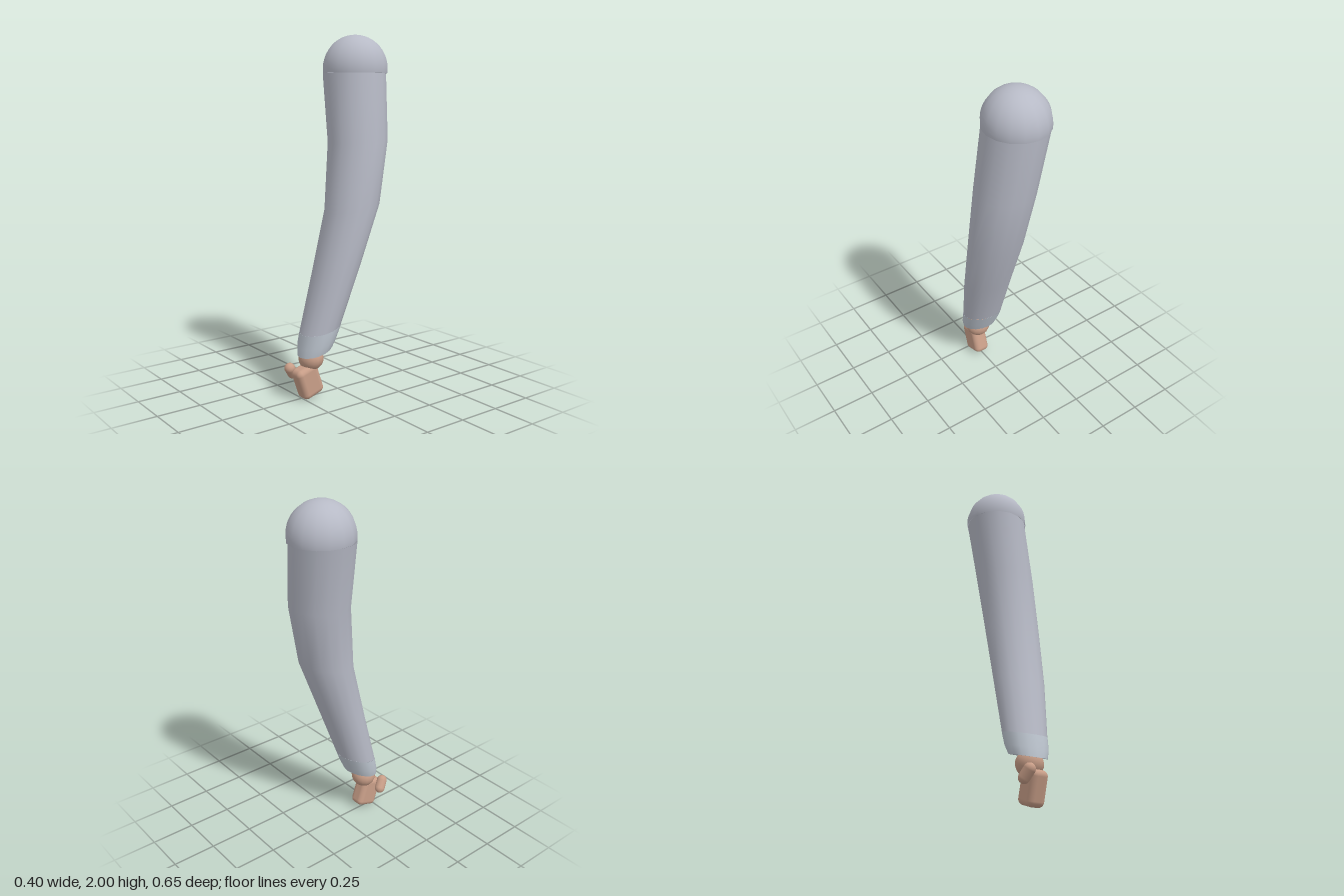
import * as THREE from 'three';
import { RoundedBoxGeometry } from 'three/addons/geometries/RoundedBoxGeometry.js';

const SIDES = 16;

// Smooth tube through tilted oval rings: [x, y, z, radiusX, radiusZ, drop at the front edge]
function loft(rings, capEnd) {
  const pos = [], index = [];
  const addRing = ([x, y, z, rx, rz, drop]) => {
    for (let i = 0; i < SIDES; i++) {
      const a = (i / SIDES) * Math.PI * 2;
      pos.push(x + rx * Math.sin(a), y - drop * Math.cos(a), z + rz * Math.cos(a));
    }
  };
  rings.forEach(addRing);
  for (let r = 0; r < rings.length - 1; r++) {
    for (let i = 0; i < SIDES; i++) {
      const j = (i + 1) % SIDES;
      const a = r * SIDES + i, b = r * SIDES + j, c = a + SIDES, d = b + SIDES;
      index.push(a, c, b, b, c, d);
    }
  }
  if (capEnd) {
    // separate ring keeps the end edge sharp
    const start = pos.length / 3, last = rings[rings.length - 1];
    addRing(last);
    pos.push(last[0], last[1], last[2]);
    for (let i = 0; i < SIDES; i++) index.push(start + SIDES, start + (i + 1) % SIDES, start + i);
  }
  const g = new THREE.BufferGeometry();
  g.setAttribute('position', new THREE.Float32BufferAttribute(pos, 3));
  g.setIndex(index);
  g.computeVertexNormals();
  return g;
}

export function createModel() {
  const model = new THREE.Group();
  model.name = 'arm';
  const material = (name, color, side = THREE.FrontSide) => {
    const m = new THREE.MeshStandardMaterial({ color, side });
    m.name = name;
    return m;
  };
  const sleeveGrey = material('sleeveGrey', 0xb7bac6, THREE.DoubleSide);
  const cuffGrey = material('cuffGrey', 0xbec6d0, THREE.DoubleSide);
  const skin = material('skin', 0xc89e88);

  const add = (name, geometry, mat, x = 0, y = 0, z = 0) => {
    const mesh = new THREE.Mesh(geometry, mat);
    mesh.name = name;
    mesh.position.set(x, y, z);
    model.add(mesh);
    return mesh;
  };

  // Rounded shoulder, cut just below its widest line
  const shoulder = add('shoulder',
    new THREE.SphereGeometry(1, SIDES, 12, 0, Math.PI * 2, 0, Math.PI / 2 + 0.13),
    sleeveGrey, -0.025, 1.815, -0.14);
  shoulder.scale.set(0.178, 0.185, 0.184);

  // Bent, tapering sleeve
  add('sleeve', loft([
    [-0.027, 1.79, -0.136, 0.173, 0.18, 0],
    [0.025, 1.42, -0.12, 0.165, 0.17, 0.01],
    [0.045, 1.06, -0.065, 0.153, 0.155, 0.025],
    [0.032, 0.72, 0.035, 0.14, 0.132, 0.03],
    [0.012, 0.395, 0.13, 0.118, 0.115, 0.032],
  ]), sleeveGrey);

  // Cuff with a closed end
  add('cuff', loft([
    [0.012, 0.395, 0.13, 0.119, 0.116, 0.032],
    [0.01, 0.32, 0.153, 0.114, 0.108, 0.032],
    [0.01, 0.27, 0.167, 0.1, 0.098, 0.03],
  ], true), cuffGrey);

  // Wrist ball
  const wrist = add('wrist', new THREE.SphereGeometry(0.07, 16, 12), skin, 0.005, 0.225, 0.19);
  wrist.scale.x = 1.06;

  // Mitten-like hand, tipped forward at the top
  const hand = add('hand', new RoundedBoxGeometry(0.095, 0.182, 0.138, 3, 0.03), skin, 0.008, 0.1, 0.216);
  hand.rotation.x = 0.33;

  // Thumb
  const thumb = add('thumb', new THREE.CapsuleGeometry(0.031, 0.05, 5, 12), skin, -0.06, 0.149, 0.279);
  thumb.quaternion.setFromUnitVectors(
    new THREE.Vector3(0, 1, 0), new THREE.Vector3(0.015, 0.04, 0.03).normalize());

  return model;
}
